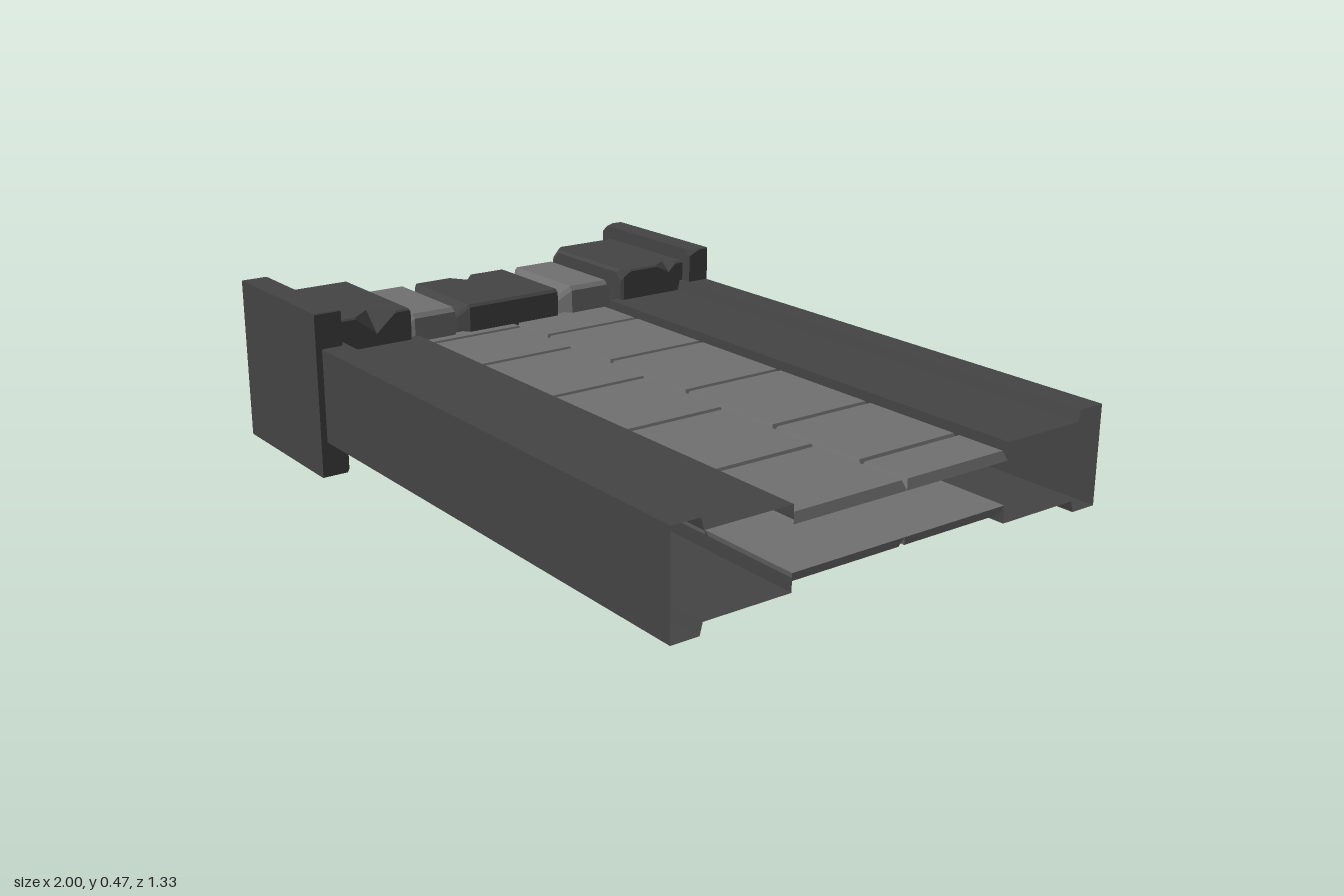
import * as THREE from 'three';

const stoneDark = new THREE.MeshStandardMaterial({ color: 0x444444, flatShading: true });
const stoneLight = new THREE.MeshStandardMaterial({ color: 0x707070, flatShading: true });
const sheetDark = new THREE.MeshStandardMaterial({ color: 0x444444, flatShading: true, side: THREE.DoubleSide });
const MID = 0.233; // mid height, the model is mirrored above and below it

// Stone lofted along z. Each section is [z, inset, chips], where chips maps a corner
// (0 +x bottom, 1 +x top, 2 -x top, 3 -x bottom) to the [x, y] size of its cut.
function stone(name, material, [x0, x1, y0, y1], cut, sections) {
  const rings = sections.map(([z, inset, chips = {}]) => {
    const a = x0 + inset, b = x1 - inset, c = y0 + inset, d = y1 - inset;
    const [p, q, r, s] = [0, 1, 2, 3].map((k) => chips[k] || [cut, cut]);
    return [
      [b - p[0], c], [b, c + p[1]], [b, d - q[1]], [b - q[0], d],
      [a + r[0], d], [a, d - r[1]], [a, c + s[1]], [a + s[0], c],
    ].map(([x, y]) => [x, y, z]);
  });
  const pos = [];
  const tri = (...pts) => pts.forEach((p) => pos.push(...p));
  for (let i = 0; i < rings.length - 1; i++) {
    for (let j = 0; j < 8; j++) {
      const k = (j + 1) % 8, lo = rings[i], hi = rings[i + 1];
      tri(lo[j], lo[k], hi[k]);
      tri(lo[j], hi[k], hi[j]);
    }
  }
  const first = rings[0], last = rings[rings.length - 1];
  for (let j = 1; j < 7; j++) {
    tri(last[0], last[j], last[j + 1]);
    tri(first[0], first[j + 1], first[j]);
  }
  const geo = new THREE.BufferGeometry();
  geo.setAttribute('position', new THREE.Float32BufferAttribute(pos, 3));
  geo.computeVertexNormals();
  const mesh = new THREE.Mesh(geo, material);
  mesh.name = name;
  return mesh;
}

// Stepped channel, open along its inner side and at the ends
function rail(side) {
  const half = [[0.30, 0.33], [0.335, 0.33], [0.335, 0.572], [0.365, 0.58], [0.365, 0.657]];
  const profile = [...half, ...half.map(([y, z]) => [2 * MID - y, z]).reverse()];
  const geo = new THREE.PlaneGeometry(1, 1, 1, profile.length - 1);
  const p = geo.attributes.position;
  for (let i = 0; i < p.count; i++) {
    const [y, z] = profile[Math.floor(i / 2)];
    // swap the ends on one side so both rails face outwards
    const atEnd = (i % 2 === 0) === (side > 0);
    p.setXYZ(i, atEnd ? 1 : -0.6, y, z * side - 0.008);
  }
  geo.computeVertexNormals();
  const mesh = new THREE.Mesh(geo, sheetDark);
  mesh.name = side > 0 ? 'frontRail' : 'backRail';
  return mesh;
}

// Flat brick with bevelled upper edges
function brick(x0, x1, z0, z1) {
  const h = 0.024, bevel = 0.009;
  const w = x1 - x0, d = z1 - z0;
  const geo = new THREE.BoxGeometry(w, h, d);
  const p = geo.attributes.position;
  for (let i = 0; i < p.count; i++) {
    if (p.getY(i) > 0) {
      p.setX(i, p.getX(i) * (1 - 2 * bevel / w));
      p.setZ(i, p.getZ(i) * (1 - 2 * bevel / d));
    }
  }
  const mesh = new THREE.Mesh(geo, stoneLight);
  mesh.position.set((x0 + x1) / 2, 0.301 - MID, (z0 + z1) / 2);
  mesh.name = 'brick';
  return mesh;
}

function brickPanel(name, flip) {
  const panel = new THREE.Group();
  const rows = [
    { z: [-0.338, -0.012], joints: [-0.64, -0.45, -0.14, 0.195, 0.54, 0.845, 1] },
    { z: [-0.012, 0.322], joints: [-0.64, -0.575, -0.31, 0.035, 0.36, 0.70, 1] },
  ];
  for (const { z, joints } of rows) {
    for (let i = 0; i < joints.length - 1; i++) panel.add(brick(joints[i], joints[i + 1], ...z));
  }
  panel.name = name;
  panel.position.y = MID;
  panel.scale.y = flip;
  return panel;
}

export function createModel() {
  const model = new THREE.Group();
  model.name = 'stoneWallSection';

  // Rails and the two brick faces between them
  model.add(rail(1), rail(-1));
  model.add(brickPanel('upperBricks', 1), brickPanel('lowerBricks', -1));

  // Outer cap plates
  const capBox = [-1, -0.54, 0, 0.465];
  model.add(stone('frontCap', stoneDark, capBox, 0.003, [
    [0.585, 0.006], [0.592, 0], [0.667, 0],
  ]));
  model.add(stone('backCap', stoneDark, capBox, 0.003, [
    [-0.667, 0, { 0: [0.015, 0.015] }],
    [-0.635, 0, { 0: [0.018, 0.018] }],
    [-0.598, 0, { 0: [0.03, 0.025], 1: [0.022, 0.02], 2: [0.025, 0.02] }],
  ]));

  // End blocks with chipped edges
  const blockBox = [-0.96, -0.575, 0.04, 0.425];
  model.add(stone('frontBlock', stoneDark, blockBox, 0.005, [
    [0.352, 0.01, { 0: [0.02, 0.02] }],
    [0.362, 0, { 0: [0.025, 0.025] }],
    [0.405, 0],
    [0.465, 0, { 1: [0.058, 0.056] }],
    [0.525, 0],
    [0.59, 0],
  ]));
  model.add(stone('backBlock', stoneDark, blockBox, 0.005, [
    [-0.6, 0],
    [-0.57, 0],
    [-0.545, 0, { 0: [0.035, 0.04], 1: [0.035, 0.028] }],
    [-0.50, 0],
    [-0.40, 0],
    [-0.375, 0, { 1: [0.02, 0.02], 2: [0.03, 0.03] }],
    [-0.367, 0.008, { 1: [0.025, 0.025], 2: [0.035, 0.035] }],
  ]));

  // Small bevelled stones between the blocks
  const smallBox = [-0.93, -0.612, 0.073, 0.393];
  model.add(stone('frontSmallStone', stoneLight, smallBox, 0.012, [
    [0.17, 0.035], [0.196, 0], [0.325, 0], [0.352, 0.03],
  ]));
  model.add(stone('backSmallStone', stoneLight, smallBox, 0.012, [
    [-0.367, 0.03], [-0.338, 0], [-0.21, 0], [-0.182, 0.035],
  ]));
  model.add(stone('middleStone', stoneDark, smallBox, 0.008, [
    [-0.182, 0.035],
    [-0.158, 0],
    [-0.045, 0],
    [-0.005, 0, { 2: [0.06, 0.05] }],
    [0.03, 0],
    [0.065, 0, { 0: [0.03, 0.028] }],
    [0.105, 0],
    [0.145, 0],
    [0.17, 0.035],
  ]));

  return model;
}
